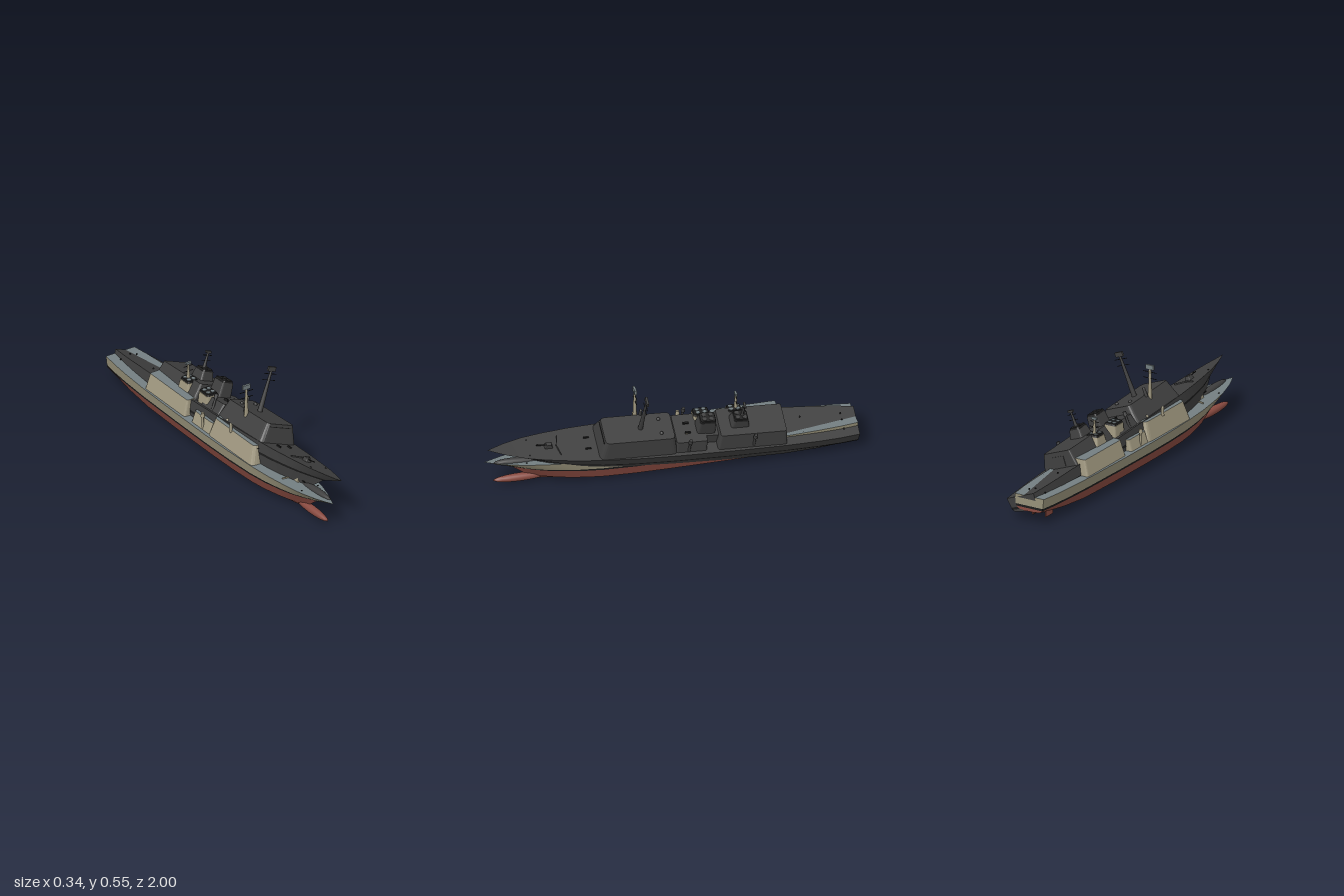
import * as THREE from 'three';

const mat = (name, color) => {
  const m = new THREE.MeshStandardMaterial({ color });
  m.name = name;
  return m;
};

// hull stations: [z, half width at deck, deck height, bottom lift]
const STATIONS = [
  [-1, 0.09, 0.145, 0.06], [-0.9, 0.103, 0.145, 0.042], [-0.78, 0.113, 0.145, 0.022],
  [-0.6, 0.122, 0.145, 0.004], [-0.3, 0.128, 0.145, 0], [0, 0.13, 0.145, 0], [0.2, 0.127, 0.145, 0],
  [0.4, 0.118, 0.145, 0], [0.55, 0.106, 0.146, 0], [0.7, 0.086, 0.148, 0], [0.8, 0.068, 0.15, 0.002],
  [0.9, 0.04, 0.153, 0.006], [0.96, 0.017, 0.155, 0.01], [1, 0.0005, 0.157, 0.015],
];
// rows of the cross-section: [half width ratio, height, bow length, bow fineness, bow rise, stern lift]
const ROWS = {
  deck: [1, 0.145, 1, 1, 0, 0],
  stripeTop: [0.93, 0.09, 0.82, 1.1, 0.024, 0],
  stripeBottom: [0.9, 0.077, 0.78, 1.15, 0.026, 0],
  chine: [0.73, 0.02, 0.66, 1.3, 0.02, 0.75],
  keel: [0.31, 0, 0.58, 1.4, 0.012, 1],
};

function rowPoint(row, [z, w, deckY, lift], side) {
  const [ratio, y, len, fine, rise, k] = ROWS[row];
  const bow = Math.max(0, (z - 0.3) / 0.7);
  const px = 0.13 * ratio * Math.pow(w / 0.13, z > 0 ? fine : 1);
  const py = row === 'deck' ? deckY : y + rise * bow * bow + (z < 0 ? lift * k : 0);
  const pz = z > 0.3 ? 0.3 + (z - 0.3) * len : z;
  return [side * px, py, pz];
}

// strip of surface between two lines of points
function strip(a, b) {
  const pos = [], idx = [];
  a.forEach((p, i) => {
    pos.push(...p, ...b[i]);
    if (i) {
      const j = 2 * i;
      idx.push(j - 2, j, j - 1, j - 1, j, j + 1);
    }
  });
  const g = new THREE.BufferGeometry();
  g.setAttribute('position', new THREE.Float32BufferAttribute(pos, 3));
  g.setIndex(idx);
  g.computeVertexNormals();
  return g;
}

const line = (row, side) => STATIONS.map((s) => rowPoint(row, s, side));

// rounded block standing on y = 0 whose top shrinks inward; groups: caps, sides
function block(w, d, h, topW, topD, r = 0.015) {
  const s = new THREE.Shape(), x = w / 2, y = d / 2;
  s.moveTo(-x + r, -y);
  s.lineTo(x - r, -y); s.quadraticCurveTo(x, -y, x, -y + r);
  s.lineTo(x, y - r); s.quadraticCurveTo(x, y, x - r, y);
  s.lineTo(-x + r, y); s.quadraticCurveTo(-x, y, -x, y - r);
  s.lineTo(-x, -y + r); s.quadraticCurveTo(-x, -y, -x + r, -y);
  const g = new THREE.ExtrudeGeometry(s, { depth: h, bevelEnabled: false, curveSegments: 4 });
  g.rotateX(-Math.PI / 2);
  const p = g.attributes.position;
  for (let i = 0; i < p.count; i++) {
    const t = p.getY(i) / h;
    p.setX(i, p.getX(i) * (1 + t * (topW / w - 1)));
    p.setZ(i, p.getZ(i) * (1 + t * (topD / d - 1)));
  }
  g.computeVertexNormals();
  return g;
}

function buildShip(name, c) {
  const ship = new THREE.Group();
  ship.name = name;
  const add = (part, geo, material, x = 0, y = 0, z = 0, rx = 0, ry = 0) => {
    const m = new THREE.Mesh(geo, material);
    m.name = part;
    m.position.set(x, y, z);
    m.rotation.set(rx, ry, 0);
    ship.add(m);
  };
  const box = (w, h, d) => new THREE.BoxGeometry(w, h, d);
  const cyl = (r1, r2, h, n = 12) => new THREE.CylinderGeometry(r1, r2, h, n);

  // hull bands, with the flat transom closing each one
  const bands = [['deck', 'stripeTop', c.hull, 'hullSide'], ['stripeTop', 'stripeBottom', c.stripe, 'waterline'],
    ['stripeBottom', 'chine', c.bottom, 'lowerHull'], ['chine', 'keel', c.bottom, 'bilge']];
  for (const [up, low, m, part] of bands) {
    add(part, strip(line(up, 1), line(low, 1)), m);
    add(part, strip(line(low, -1), line(up, -1)), m);
    const e = (row, s) => rowPoint(row, STATIONS[0], s);
    add('transom', strip([e(up, -1), e(up, 1)], [e(low, -1), e(low, 1)]), m);
  }
  add('keelPlate', strip(line('keel', 1), line('keel', -1)), c.bottom);
  add('deck', strip(line('deck', -1), line('deck', 1)), c.deck);

  // bow bulb and rudders
  const bulb = new THREE.SphereGeometry(1, 16, 12);
  bulb.scale(0.023, 0.022, 0.15);
  add('bowBulb', bulb, c.bottom, 0, 0.033, 0.8);
  for (const s of [1, -1]) add('rudder', box(0.008, 0.05, 0.065), c.bottom, s * 0.04, 0.031, -0.87);

  // superstructure blocks
  const faces = [c.deck, c.house];
  add('bridgeBlock', block(0.232, 0.42, 0.1, 0.17, 0.375, 0.03), faces, 0, 0.145, 0.2);
  add('middleBlock', block(0.22, 0.17, 0.06, 0.18, 0.165), faces, 0, 0.145, -0.085);
  add('gangwayHouse', block(0.12, 0.08, 0.055, 0.11, 0.08), faces, 0, 0.145, -0.2);
  add('hangarBlock', block(0.225, 0.375, 0.087, 0.175, 0.355), faces, 0, 0.145, -0.415);
  add('bridgeWindows', box(0.14, 0.004, 0.006), c.stripe, 0, 0.228, 0.391, -0.22);
  add('hangarDoor', box(0.08, 0.055, 0.006), c.deck, 0, 0.18, -0.599, 0.11);

  // funnels with dark caps and paired exhausts
  for (const [z, y0, h, top] of [[-0.17, 0.195, 0.09, 0.088], [-0.35, 0.23, 0.048, 0.078]]) {
    add('funnel', block(0.085, 0.1, h, 0.07, top, 0.015), c.house, 0, y0, z);
    add('funnelCap', block(0.064, top, 0.01, 0.058, top - 0.008, 0.012), c.stripe, 0, y0 + h, z);
    for (const s of [1, -1]) for (const t of [1, -1])
      add('exhaust', cyl(0.011, 0.011, 0.008), c.deck, s * 0.014, y0 + h + 0.009, z + t * 0.018);
  }

  // masts with crossed yards and a box aerial
  const mast = (z, y0, y1, r, yards, half, bw, bh) => {
    add('mast', cyl(r * 0.6, r * 1.3, y1 - y0, 8), c.house, 0, (y0 + y1) / 2, z);
    add('mastAerial', box(bw, bh, 0.012), c.deck, 0, y1 + bh / 2, z);
    for (const y of yards) add('yard', box(half * 2, 0.003, 0.003), c.stripe, 0, y, z);
  };
  mast(0.185, 0.24, 0.47, 0.011, [0.455, 0.42], 0.041, 0.048, 0.025);
  mast(-0.36, 0.28, 0.368, 0.008, [0.355, 0.325], 0.028, 0.033, 0.012);

  // side mounts
  for (const [x, z] of [[0.104, -0.07], [-0.104, -0.07], [0.104, -0.42]]) {
    add('sideMountPost', cyl(0.006, 0.008, 0.08, 8), c.house, x, 0.18, z);
    add('sideMount', cyl(0.009, 0.012, 0.022, 10), c.house, x, 0.229, z);
  }
  // single tall dome at the edge of the bridge roof
  add('domePost', cyl(0.008, 0.009, 0.045, 10), c.house, -0.088, 0.255, 0.17);
  add('dome', new THREE.SphereGeometry(0.008, 10, 8), c.house, -0.088, 0.279, 0.17);

  // small paired fittings
  for (const s of [1, -1]) {
    add('roofDome', new THREE.SphereGeometry(0.01, 10, 8), c.house, s * 0.045, 0.247, 0.08);
    add('deckLocker', box(0.008, 0.014, 0.03), c.stripe, s * 0.03, 0.21, -0.07);
    add('foredeckLocker', box(0.008, 0.008, 0.03), c.stripe, s * 0.035, 0.149, 0.46);
    add('breakwater', box(0.065, 0.008, 0.004), c.house, s * 0.03, 0.15, 0.62, 0, s * 0.25);
    for (const z of [0.78, -0.7, -0.92]) add('bollard', cyl(0.004, 0.004, 0.006, 8), c.stripe, s * 0.05, 0.15, z);
  }

  // foredeck gun
  add('gunTurret', block(0.032, 0.045, 0.022, 0.022, 0.028, 0.006), c.house, 0, 0.147, 0.67);
  add('gunBarrel', cyl(0.003, 0.003, 0.055, 8), c.stripe, 0, 0.163, 0.71, Math.PI / 2 - 0.1);
  return ship;
}

export function createModel() {
  const black = mat('stripe black', 0x1c1c1c);
  const charcoal = mat('charcoal', 0x3e3e3e);
  const root = new THREE.Group();
  root.name = 'twoShips';

  // upright painted ship
  const painted = buildShip('paintedShip', {
    hull: mat('hull khaki', 0x969078), house: mat('stone paint', 0xa09880), stripe: black,
    deck: mat('deck grey', 0x737e81), bottom: mat('red bottom', 0x884a40),
  });
  painted.position.x = -0.04;

  // dark twin, rolled to its left with the bow raised
  const dark = buildShip('darkShip', { hull: charcoal, house: charcoal, stripe: black, deck: charcoal, bottom: charcoal });
  dark.position.set(-0.036, 0.064, 0.006);
  dark.rotation.set(-0.063, 0, -0.366);

  root.add(painted, dark);
  return root;
}
